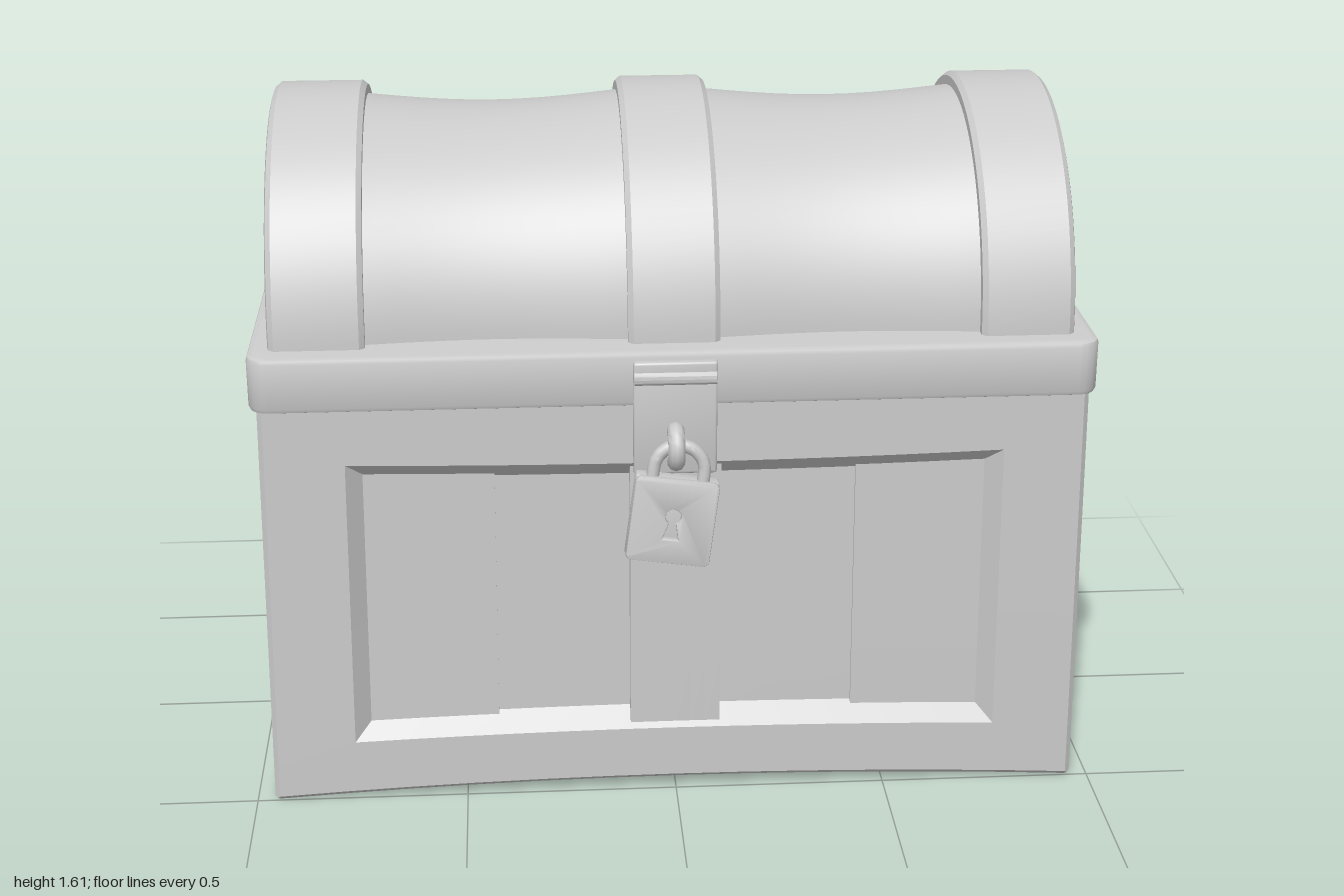
import * as THREE from 'three';
import { toCreasedNormals } from 'three/addons/utils/BufferGeometryUtils.js';
import { RoundedBoxGeometry } from 'three/addons/geometries/RoundedBoxGeometry.js';

const MID_Z = -0.035;            // centre of the box, front to back
const HX = 0.955, HZ = 0.54;     // half width and half depth of the box
const Y0 = 0.005, Y1 = 1.04;     // bottom and top of the box (top is inside the rim)
const SEG = 12;

const material = new THREE.MeshStandardMaterial({ color: 0xcccccc });

function add(parent, name, geometry, crease = 0.5) {
  const mesh = new THREE.Mesh(toCreasedNormals(geometry, crease), material);
  mesh.name = name;
  parent.add(mesh);
  return mesh;
}

// Hand-made look: the box pinches slightly at mid width and tapers upward
function warp(geometry) {
  const p = geometry.attributes.position;
  for (let i = 0; i < p.count; i++) {
    const x = p.getX(i), y = p.getY(i);
    const bow = Math.max(0, 1 - (x / HX) ** 2);
    p.setY(i, y + 0.03 * bow * (1 - y / 0.55));
    p.setX(i, x * (1.004 - 0.014 * y));
  }
  return geometry;
}

// One side of the box: chamfered edge, flat frame, bevelled recess, sunk panel.
// origin is the face centre, u x v = n, margins are [side, low, high].
function faceTriangles(out, origin, u, v, n, hu, hv, margins, bevel, depth) {
  const c = 0.012;
  const at = (a, b, d) => origin.clone().addScaledVector(u, a).addScaledVector(v, b).addScaledVector(n, d);
  const ring = (side, low, high, d) => [
    at(-hu + side, -hv + low, d), at(hu - side, -hv + low, d),
    at(hu - side, hv - high, d), at(-hu + side, hv - high, d)];
  const patch = (p00, p10, p11, p01, m) => {
    const pt = (s, t) => p00.clone().lerp(p10, s).lerp(p01.clone().lerp(p11, s), t);
    for (let i = 0; i < SEG; i++) for (let j = 0; j < m; j++) {
      const a = pt(i / SEG, j / m), b = pt((i + 1) / SEG, j / m);
      const e = pt((i + 1) / SEG, (j + 1) / m), f = pt(i / SEG, (j + 1) / m);
      for (const q of [a, b, e, a, e, f]) out.push(q.x, q.y, q.z);
    }
  };
  const [side, low, high] = margins;
  const rings = [
    ring(c / 2, c / 2, c / 2, -c / 2),
    ring(c, c, c, 0),
    ring(side, low, high, 0),
    ring(side + bevel, low + bevel, high + bevel, -depth)];
  for (let k = 0; k < 3; k++) for (let i = 0; i < 4; i++) {
    const j = (i + 1) % 4;
    patch(rings[k][i], rings[k][j], rings[k + 1][j], rings[k + 1][i], 1);
  }
  patch(...rings[3], SEG);
}

function boxGeometry() {
  const out = [], V = (x, y, z) => new THREE.Vector3(x, y, z);
  const hy = (Y1 - Y0) / 2, cy = (Y0 + Y1) / 2;
  for (const s of [1, -1]) {
    faceTriangles(out, V(0, cy, MID_Z + s * HZ), V(s, 0, 0), V(0, 1, 0), V(0, 0, s), HX, hy, [0.195, 0.145, 0.165], 0.045, 0.045);
    faceTriangles(out, V(s * HX, cy, MID_Z), V(0, 0, -s), V(0, 1, 0), V(s, 0, 0), HZ, hy, [0.13, 0.145, 0.17], 0.037, 0.045);
  }
  faceTriangles(out, V(0, Y0, MID_Z), V(1, 0, 0), V(0, 0, 1), V(0, -1, 0), HX, HZ, [0.17, 0.13, 0.13], 0.04, 0.04);
  faceTriangles(out, V(0, Y1, MID_Z), V(1, 0, 0), V(0, 0, -1), V(0, 1, 0), HX, HZ, [0.1, 0.1, 0.1], 0.02, 0);
  const g = new THREE.BufferGeometry();
  g.setAttribute('position', new THREE.Float32BufferAttribute(out, 3));
  return warp(g);
}

function slab(x0, x1, y0, y1, z0, z1) {
  const g = new THREE.BoxGeometry(x1 - x0, y1 - y0, z1 - z0, 6, 4, 1);
  g.translate((x0 + x1) / 2, (y0 + y1) / 2, (z0 + z1) / 2);
  return warp(g);
}

function roundedRect(w, h, r) {
  const s = new THREE.Shape();
  s.absarc(w - r, h - r, r, 0, Math.PI / 2);
  s.absarc(-w + r, h - r, r, Math.PI / 2, Math.PI);
  s.absarc(-w + r, -h + r, r, Math.PI, Math.PI * 1.5);
  s.absarc(w - r, -h + r, r, Math.PI * 1.5, Math.PI * 2);
  s.closePath();
  return s;
}

// Half-round lid: one profile along x, with raised bands, sagging barrel, sunk ends
function lidGeometry() {
  const pts = [];
  const p = (r, x) => pts.push(new THREE.Vector2(r, x));
  const band = (x0, x1) => {
    p(0.484, x0); p(0.494, x0 + 0.012);
    p(0.494, x1 - 0.012); p(0.484, x1);
  };
  const barrel = (x0, x1) => {
    for (let i = 0; i <= 10; i++) {
      const t = i / 10;
      p(0.462 - 0.02 * Math.sin(Math.PI * t), x0 + (x1 - x0) * t);
    }
  };
  p(0, -0.855); p(0.34, -0.855); p(0.402, -0.915); p(0.474, -0.918);
  band(-0.915, -0.7);
  barrel(-0.7, -0.107);
  band(-0.107, 0.102);
  barrel(0.102, 0.7);
  band(0.7, 0.912);
  p(0.474, 0.915); p(0.402, 0.912); p(0.34, 0.855); p(0, 0.855);
  const g = new THREE.LatheGeometry(pts, 48, Math.PI, Math.PI);
  g.rotateZ(-Math.PI / 2);
  return g;
}

function padlock() {
  const lock = new THREE.Group();
  lock.name = 'padlock';
  // Front plate with a keyhole over a solid back
  const front = roundedRect(0.092, 0.096, 0.01);
  const key = new THREE.Path();
  key.absarc(0, 0.012, 0.022, -Math.PI * 0.3, Math.PI * 1.3);
  key.lineTo(-0.022, -0.045);
  key.lineTo(0.022, -0.045);
  key.closePath();
  front.holes.push(key);
  const plate = new THREE.ExtrudeGeometry(front, { depth: 0.015, bevelEnabled: true, bevelSize: 0.004, bevelThickness: 0.004, bevelSegments: 2 });
  add(lock, 'lockFront', plate.translate(0, 0, 0.008));
  add(lock, 'lockBody', new RoundedBoxGeometry(0.192, 0.2, 0.04, 2, 0.006).translate(0, 0, -0.01));
  // Shackle: two legs joined by a half circle
  const path = new THREE.CurvePath();
  const R = 0.058, top = 0.118;
  const arc = [];
  for (let i = 0; i <= 12; i++) {
    const a = Math.PI * i / 12;
    arc.push(new THREE.Vector3(R * Math.cos(a), top + R * Math.sin(a), 0));
  }
  path.add(new THREE.LineCurve3(new THREE.Vector3(R, 0.08, 0), arc[0]));
  path.add(new THREE.CatmullRomCurve3(arc));
  path.add(new THREE.LineCurve3(arc[12], new THREE.Vector3(-R, 0.08, 0)));
  add(lock, 'shackle', new THREE.TubeGeometry(path, 32, 0.015, 10), 1);
  lock.position.set(-0.015, 0.742, 0.562);
  lock.rotation.set(-0.08, 0, -0.14);
  return lock;
}

export function createModel() {
  const chest = new THREE.Group();
  chest.name = 'chest';

  add(chest, 'box', boxGeometry());

  // Planks and centre straps in the front and back panels
  for (const s of [1, -1]) {
    const side = s > 0 ? 'front' : 'back';
    const deep = MID_Z + s * (HZ - 0.07);
    const zs = d => [deep, MID_Z + s * (HZ - d)].sort((a, b) => a - b);
    for (const m of [1, -1]) {
      const [x0, x1] = [m * 0.42, m * 0.725].sort((a, b) => a - b);
      add(chest, side + 'Plank', slab(x0, x1, 0.165, 0.855, ...zs(0.037)));
    }
    add(chest, side + 'Strap', slab(-0.108, 0.104, 0.15, 0.87, ...zs(0.012)));
  }
  add(chest, 'bottomStrap', slab(-0.105, 0.105, 0.02, 0.07, MID_Z - 0.4, MID_Z + 0.4));

  // Rim with rounded corners, and the arched lid on it
  const rim = new THREE.ExtrudeGeometry(roundedRect(0.952, 0.54, 0.035),
    { depth: 0.106, bevelEnabled: true, bevelSize: 0.012, bevelThickness: 0.012, bevelSegments: 2, curveSegments: 6 });
  add(chest, 'rim', rim.rotateX(-Math.PI / 2).translate(0, 1.012, MID_Z));
  add(chest, 'lid', lidGeometry()).position.set(0, 1.118, MID_Z);

  // Side handles
  for (const s of [1, -1]) {
    add(chest, s > 0 ? 'leftHandle' : 'rightHandle',
      new RoundedBoxGeometry(0.08, 0.065, 0.345, 2, 0.006)).position.set(s * 0.96, 0.943, MID_Z);
  }

  // Hasp, its hinge, the staple and the padlock
  add(chest, 'hasp', new RoundedBoxGeometry(0.19, 0.255, 0.028, 2, 0.006)).position.set(-0.005, 0.965, 0.513);
  add(chest, 'haspLeaf', new RoundedBoxGeometry(0.19, 0.05, 0.025, 2, 0.006)).position.set(-0.005, 1.085, 0.52);
  const hinge = add(chest, 'haspHinge', new THREE.CylinderGeometry(0.017, 0.017, 0.186, 14));
  hinge.rotation.z = Math.PI / 2;
  hinge.position.set(-0.005, 1.072, 0.525);
  const staple = add(chest, 'staple', new THREE.TorusGeometry(0.037, 0.02, 10, 24), 1);
  staple.rotation.y = Math.PI / 2;
  staple.position.set(-0.005, 0.91, 0.537);
  chest.add(padlock());

  return chest;
}
